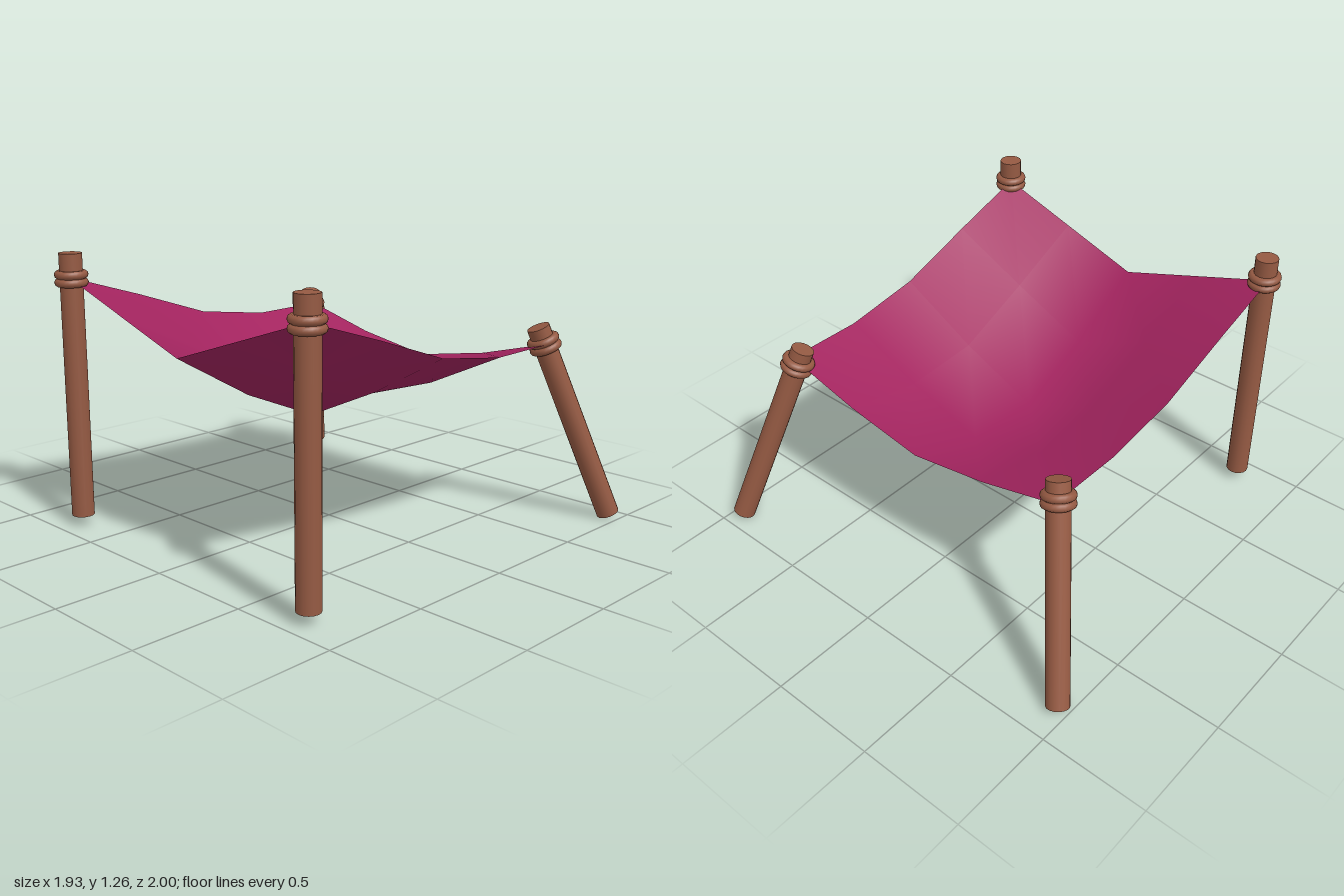
import * as THREE from 'three';

const wood = new THREE.MeshStandardMaterial({ color: 0x955a43 });
wood.name = 'brown wood';
const fabric = new THREE.MeshStandardMaterial({ color: 0xa3245f, side: THREE.DoubleSide });
fabric.name = 'magenta fabric';

const POST_RADIUS = 0.052;

// Pole from foot to top, with two rope rings at the given distances below the top
function makePost(name, foot, top, ringDrops) {
  const a = new THREE.Vector3(...foot);
  const b = new THREE.Vector3(...top);
  const length = a.distanceTo(b);
  const post = new THREE.Group();
  post.name = name;

  const pole = new THREE.Mesh(new THREE.CylinderGeometry(POST_RADIUS, POST_RADIUS, length, 16), wood);
  pole.name = 'pole';
  pole.position.y = length / 2;
  post.add(pole);

  for (const drop of ringDrops) {
    const ring = new THREE.Mesh(new THREE.TorusGeometry(0.056, 0.019, 10, 24), wood);
    ring.name = 'ropeRing';
    ring.rotation.x = Math.PI / 2;
    ring.position.y = length - drop;
    post.add(ring);
  }

  post.position.copy(a);
  post.quaternion.setFromUnitVectors(new THREE.Vector3(0, 1, 0), b.sub(a).normalize());
  return post;
}

// Sagging square sheet; heights run from the tall side to the low side,
// each row from the edge to the middle
function makeCanopy() {
  const heights = [
    [1.15, 1.025, 0.9],
    [1.03, 0.85, 0.68],
    [0.9, 0.69, 0.52],
    [0.845, 0.67, 0.55],
    [0.85, 0.75, 0.685],
  ];
  const size = 1.52;
  const sheet = new THREE.PlaneGeometry(size, size, 4, 4).rotateX(-Math.PI / 2);
  const p = sheet.attributes.position;
  for (let i = 0; i < p.count; i++) {
    const col = Math.round((p.getX(i) / size + 0.5) * 4);
    const row = Math.round((p.getZ(i) / size + 0.5) * 4);
    p.setY(i, heights[col][Math.min(row, 4 - row)]);
  }
  sheet.computeVertexNormals();
  const canopy = new THREE.Mesh(sheet, fabric);
  canopy.name = 'canopy';
  canopy.position.set(-0.13, 0, 0.02);
  return canopy;
}

export function createModel() {
  const model = new THREE.Group();
  model.name = 'shadeCanopy';
  model.add(
    makeCanopy(),
    // Upright tall posts
    makePost('tallFrontPost', [-0.895, 0.05, 0.785], [-0.895, 1.26, 0.785], [0.095, 0.13]),
    makePost('tallBackPost', [-0.888, 0.05, -0.718], [-0.888, 1.26, -0.718], [0.095, 0.13]),
    // Short posts splayed outward
    makePost('leaningFrontPost', [0.913, 0.02, 0.945], [0.615, 0.918, 0.715], [0.065, 0.1]),
    makePost('leaningBackPost', [0.845, 0.02, -0.95], [0.565, 0.918, -0.705], [0.065, 0.1]),
  );
  return model;
}
